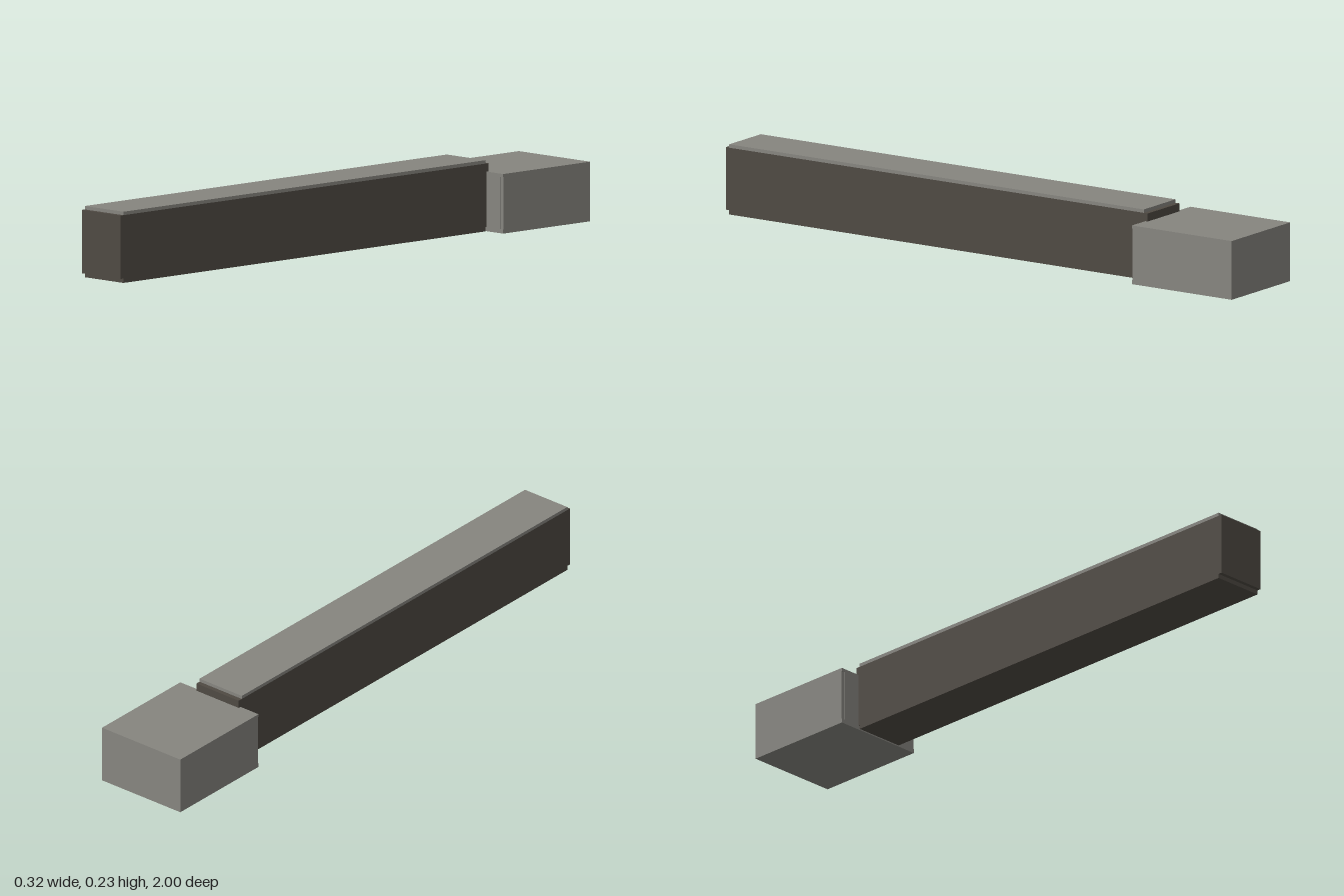
import * as THREE from 'three';

export function createModel() {
  const group = new THREE.Group();
  const grey = new THREE.MeshStandardMaterial({ color: 0x86857f });
  grey.name = 'stone grey';
  const brown = new THREE.MeshStandardMaterial({ color: 0x4f4a43 });
  brown.name = 'dark brown';

  // Box given by its extents on each axis
  function box(name, material, [x0, x1], [y0, y1], [z0, z1]) {
    const mesh = new THREE.Mesh(new THREE.BoxGeometry(x1 - x0, y1 - y0, z1 - z0), material);
    mesh.position.set((x0 + x1) / 2, (y0 + y1) / 2, (z0 + z1) / 2);
    mesh.name = name;
    group.add(mesh);
  }

  // Long beam: body, slightly proud end caps and a grey top slab
  const beamX = [-0.087, 0.087];
  box('beamBody', brown, beamX, [0, 0.216], [-0.61, 0.987]);
  box('beamTop', grey, beamX, [0.216, 0.227], [-0.61, 0.987]);
  box('frontCap', brown, beamX, [0.014, 0.216], [0.987, 1]);
  box('backCap', brown, beamX, [0.014, 0.216], [-0.625, -0.61]);

  // Wide end block: core between top and bottom slabs, with side panels
  const blockX = [-0.161, 0.161];
  const blockZ = [-1, -0.616];
  box('blockTop', grey, blockX, [0.18, 0.19], blockZ);
  box('blockBottom', grey, blockX, [0, 0.013], blockZ);
  box('blockCore', grey, [-0.15, 0.15], [0.013, 0.18], blockZ);
  for (const s of [-1, 1]) {
    const xs = [s * 0.15, s * 0.161].sort((a, b) => a - b);
    box(s > 0 ? 'leftPanel' : 'rightPanel', grey, xs, [0.013, 0.18], [-1, -0.618]);
  }
  return group;
}
